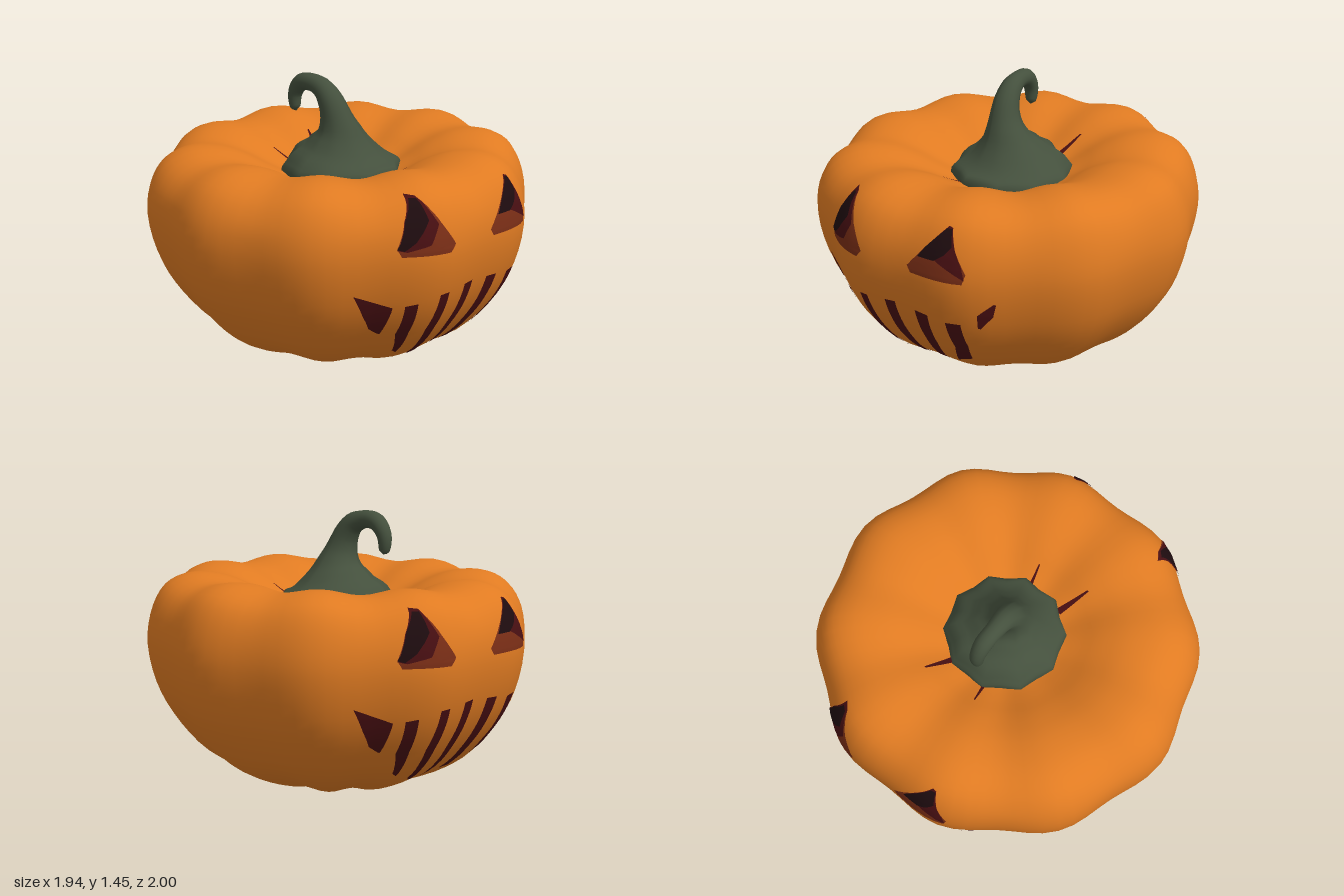
import * as THREE from 'three';

const mat = (name, color) => {
  const m = new THREE.MeshStandardMaterial({ color });
  m.name = name;
  return m;
};
const V = (x, y, z = 0) => new THREE.Vector3(x, y, z);

// Smooth surface through a grid of points; "closed" joins last column to first
function loft(rows, cols, closed, point) {
  const pos = [], idx = [], n = closed ? cols : cols + 1;
  for (let i = 0; i <= rows; i++)
    for (let j = 0; j < n; j++) pos.push(...point(i / rows, j / cols).toArray());
  for (let i = 0; i < rows; i++)
    for (let j = 0; j < cols; j++) {
      const k = (j + 1) % n, a = i * n + j, b = i * n + k;
      idx.push(a, b, b + n, a, b + n, a + n);
    }
  const g = new THREE.BufferGeometry();
  g.setAttribute('position', new THREE.Float32BufferAttribute(pos, 3));
  g.setIndex(idx);
  g.computeVertexNormals();
  return g;
}

export function createModel() {
  const group = new THREE.Group();
  const orange = mat('orange skin', 0xe07b22);
  const green = mat('green stem', 0x44503d);
  const maroon = mat('maroon cut', 0x480f12);
  const brown = mat('brown eye', 0x7a2e16);
  const black = mat('black eye shade', 0x1e0c0f);
  const add = (name, geo, material) => {
    const m = new THREE.Mesh(geo, material);
    m.name = name;
    group.add(m);
    return m;
  };

  // Ten-lobed body: profile from the bottom pole up and into the top dimple
  const profile = new THREE.CatmullRomCurve3([
    [0.002, 0.03], [0.08, 0.002], [0.25, 0.012], [0.47, 0.075], [0.7, 0.2], [0.86, 0.38],
    [0.955, 0.56], [1, 0.79], [0.97, 0.96], [0.9, 1.07], [0.78, 1.125], [0.62, 1.12],
    [0.48, 1.07], [0.36, 1.0], [0.25, 0.95], [0.002, 0.92],
  ].map(([r, y]) => V(r, y)));
  const body = add('body', loft(52, 80, true, (u, v) => {
    const p = profile.getPoint(u), a = v * Math.PI * 2;
    const valley = (1 - Math.cos(10 * a)) / 2;
    const top = THREE.MathUtils.smoothstep(p.y, 0.85, 1.1);
    const low = 1 - THREE.MathUtils.smoothstep(p.y, 0, 0.3);
    const r = p.x * (1 - 0.038 * valley);
    const z = r * Math.cos(a);
    const y = p.y + valley * (0.018 * low * Math.min(1, p.x * 8) - 0.03 * top) - 0.02 * z * top;
    return V(r * Math.sin(a), y, z);
  }), orange);

  // Stem: ribbed skirt narrowing into a curled hook [x, y, z, radius, rib depth]
  const stem = [
    [0, 0.88, -0.02, 0.3, 0.03], [0, 0.98, -0.02, 0.305, 0.04], [0, 1.03, -0.02, 0.265, 0.05],
    [0.005, 1.09, -0.015, 0.185, 0.06], [0.01, 1.17, 0, 0.115, 0.06], [0, 1.25, 0.02, 0.08, 0.05],
    [-0.025, 1.32, 0.03, 0.066, 0.04], [-0.075, 1.38, 0.035, 0.055, 0.03],
    [-0.15, 1.405, 0.04, 0.046, 0.02], [-0.23, 1.395, 0.04, 0.045, 0],
    [-0.28, 1.33, 0.04, 0.038, 0], [-0.28, 1.255, 0.04, 0.028, 0], [-0.272, 1.235, 0.04, 0.001, 0],
  ];
  const path = new THREE.CatmullRomCurve3(stem.map((s) => V(s[0], s[1], s[2])));
  const size = new THREE.CatmullRomCurve3(stem.map((s) => V(s[3], s[4])), false, 'catmullrom', 0.4);
  const spine = (u) => path.getPoint(Math.min(1, Math.max(0, u)));
  add('stem', loft(40, 20, true, (u, v) => {
    const c = spine(u), s = size.getPoint(u), a = v * Math.PI * 2;
    const t = spine(u + 0.01).sub(spine(u - 0.01)).setZ(0).normalize();
    const r = Math.max(0.001, s.x) * (1 + s.y * Math.cos(10 * a));
    return c.addScaledVector(V(t.y, -t.x), r * Math.sin(a)).addScaledVector(V(0, 0, 1), r * Math.cos(a));
  }), green);

  // Thin skin projected on the body. Rows run downward, each [leftA, leftB, rightA, rightB]:
  // on the side a, b are z, y; on the top they are x, z.
  body.updateMatrixWorld();
  const ray = new THREE.Raycaster();
  function paint(name, material, rows, lift, turn, onTop = false) {
    const steps = (rows.length - 1) * 6;
    const geo = loft(steps, 6, false, (u, v) => {
      const f = (1 - u) * (rows.length - 1), i = Math.min(Math.floor(f), rows.length - 2);
      const q = rows[i].map((n, k) => THREE.MathUtils.lerp(n, rows[i + 1][k], f - i));
      const a = THREE.MathUtils.lerp(q[0], q[2], v), b = THREE.MathUtils.lerp(q[1], q[3], v);
      if (onTop) ray.set(V(a * turn, 2, b * turn), V(0, -1, 0));
      else ray.set(V(2 * turn, b, a * turn), V(-turn, 0, 0));
      const hit = ray.intersectObject(body)[0];
      return hit.point.addScaledVector(hit.face.normal, lift);
    });
    add(name, geo, material);
  }

  const eyes = [
    [brown, 0.003, [[0.37, 1.075, 0.34, 1.07], [0.435, 0.97, 0.285, 0.955], [0.486, 0.85, 0.22, 0.845], [0.47, 0.812, 0.25, 0.808]]],
    [maroon, 0.005, [[0.37, 1.075, 0.34, 1.07], [0.435, 0.97, 0.3, 0.95], [0.47, 0.88, 0.35, 0.86], [0.486, 0.845, 0.45, 0.835]]],
    [black, 0.007, [[0.37, 1.06, 0.345, 1.06], [0.43, 0.975, 0.34, 0.97], [0.47, 0.88, 0.41, 0.88], [0.486, 0.85, 0.46, 0.84]]],
    [brown, 0.003, [[-0.24, 1.06, -0.26, 1.055], [-0.14, 0.95, -0.3, 0.96], [-0.05, 0.845, -0.355, 0.86], [-0.07, 0.812, -0.34, 0.81]]],
    [maroon, 0.005, [[-0.24, 1.06, -0.26, 1.055], [-0.15, 0.96, -0.3, 0.96], [-0.2, 0.91, -0.335, 0.89], [-0.3, 0.86, -0.35, 0.83]]],
    [black, 0.007, [[-0.235, 1.05, -0.26, 1.05], [-0.15, 0.96, -0.28, 0.98], [-0.12, 0.92, -0.25, 0.94], [-0.11, 0.905, -0.2, 0.905]]],
  ];
  const teeth = [
    [[0.636, 0.625, 0.625, 0.62], [0.57, 0.51, 0.465, 0.545], [0.51, 0.42, 0.45, 0.39], [0.46, 0.385, 0.45, 0.38]],
    [[0.42, 0.55, 0.37, 0.56], [0.385, 0.37, 0.335, 0.38], [0.315, 0.24, 0.285, 0.22]],
    [[0.27, 0.59, 0.22, 0.595], [0.255, 0.38, 0.2, 0.38], [0.2, 0.19, 0.16, 0.17]],
    [[0.11, 0.605, 0.05, 0.61], [0.105, 0.38, 0.045, 0.38], [0.075, 0.16, 0.04, 0.15]],
    [[-0.065, 0.595, -0.14, 0.59], [-0.06, 0.4, -0.125, 0.38], [-0.04, 0.19, -0.09, 0.2]],
    [[-0.235, 0.575, -0.31, 0.58], [-0.23, 0.4, -0.3, 0.42], [-0.18, 0.26, -0.27, 0.3]],
    [[-0.46, 0.705, -0.468, 0.7], [-0.39, 0.64, -0.45, 0.63], [-0.38, 0.56, -0.39, 0.555]],
  ];
  const slits = [
    [[0.26, 0.1, 0.42, 0.185], [0.26, 0.14, 0.42, 0.195]],
    [[0.27, -0.085, 0.39, -0.105], [0.27, -0.065, 0.39, -0.098]],
  ];

  // The same face appears on both sides
  for (const turn of [1, -1]) {
    eyes.forEach(([m, lift, rows]) => paint('eye', m, rows, lift, turn));
    teeth.forEach((rows) => paint('mouthSlot', maroon, rows, 0.004, turn));
    slits.forEach((rows) => paint('topSlit', maroon, rows, 0.004, turn, true));
  }
  return group;
}
